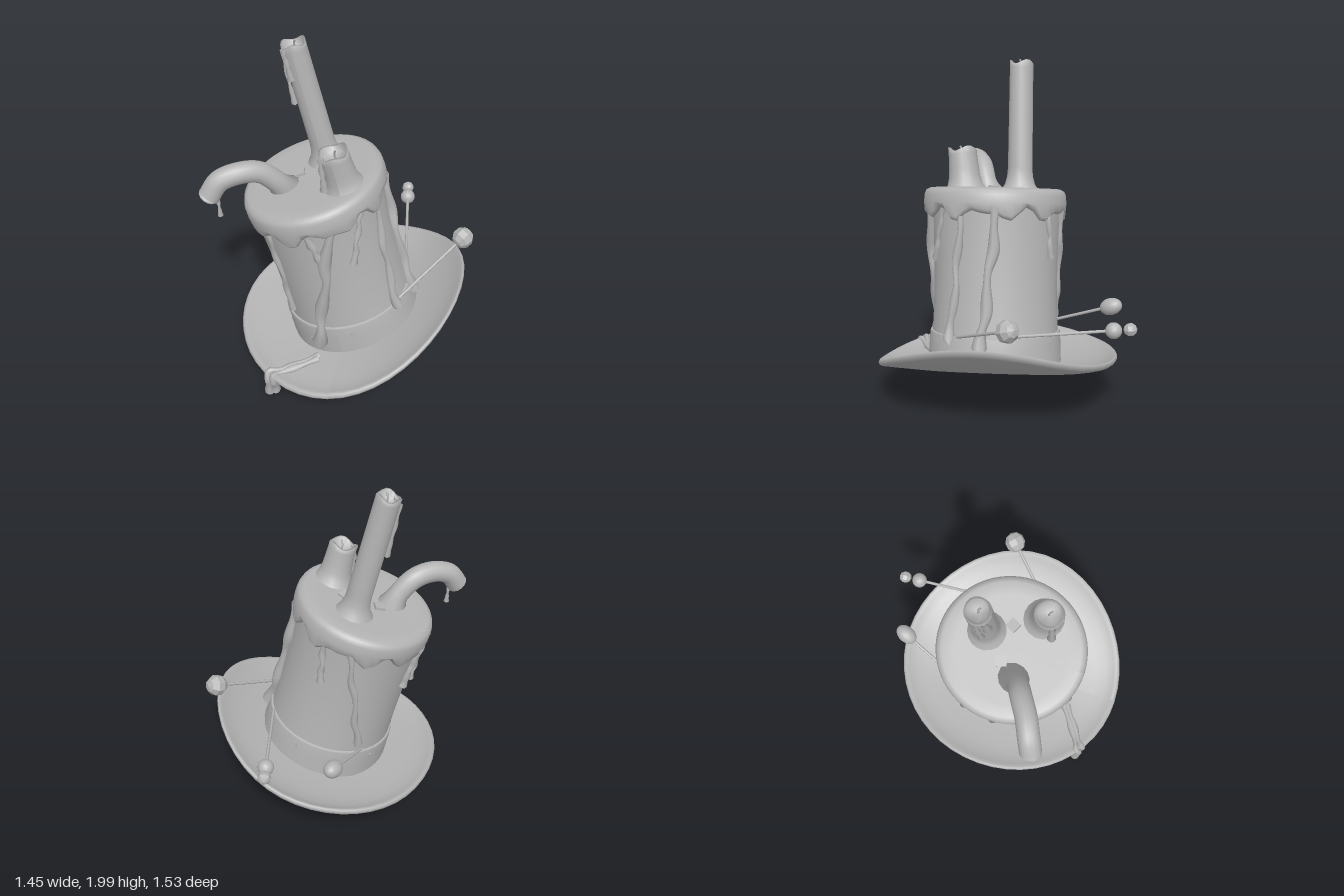
import * as THREE from 'three';

const V = (x, y, z) => new THREE.Vector3(x, y, z);
const RAD = Math.PI / 180;
const UP = V(0, 1, 0);

export function createModel() {
  const root = new THREE.Group();
  const wax = new THREE.MeshStandardMaterial({ color: 0xb4b4b4 });
  wax.name = 'warm grey';
  wax.side = THREE.DoubleSide;
  const faceted = wax.clone();
  faceted.flatShading = true;

  const add = (parent, name, geo, mat = wax) => {
    const mesh = new THREE.Mesh(geo, mat);
    mesh.name = name;
    parent.add(mesh);
    return mesh;
  };
  const lathe = (pts, seg) => new THREE.LatheGeometry(pts.map(p => new THREE.Vector2(p[0], p[1])), seg);
  const deform = (geo, rule) => {
    const p = geo.attributes.position, v = V(0, 0, 0);
    for (let i = 0; i < p.count; i++) {
      rule(v.fromBufferAttribute(p, i));
      p.setXYZ(i, v.x, v.y, v.z);
    }
    geo.computeVertexNormals();
    return geo;
  };
  // tube whose radius follows radius(t)
  const taperTube = (pts, radius, sides = 8, steps = 30) => {
    const curve = new THREE.CatmullRomCurve3(pts);
    const geo = new THREE.TubeGeometry(curve, steps, 1, sides);
    const p = geo.attributes.position, v = V(0, 0, 0);
    for (let i = 0; i < p.count; i++) {
      const t = Math.floor(i / (sides + 1)) / steps, c = curve.getPointAt(t);
      v.fromBufferAttribute(p, i).sub(c).multiplyScalar(radius(t)).add(c);
      p.setXYZ(i, v.x, v.y, v.z);
    }
    return geo;
  };
  // lumpy runnel with a bead at its lower end
  const dripRadius = (r, bead = 1.3) => t => {
    const end = Math.sqrt(Math.max(0, 1 - ((t - 0.93) / 0.07) ** 2));
    const body = r * (0.85 + 0.22 * Math.sin(t * 17 + r * 90));
    return t > 0.93 ? r * bead * end + 0.0005 : body + (r * bead - body) * Math.max(0, (t - 0.8) / 0.13);
  };

  // ---- Curled brim, back rim turned up a little ----
  const brimY = (x, z) => 0.155 + 0.42 * Math.pow(Math.abs(x + 0.33) / 1.02, 2.4)
    + 0.07 * Math.pow(Math.max(0, 0.4 - z), 1.3) + 0.055 * Math.pow(Math.max(0, 0.055 - z) / 0.705, 5);
  const profile = [];
  for (let i = 0; i <= 10; i++) profile.push([i * 0.097, 0]);
  profile.push([0.99, 0.006], [1, 0.022], [0.99, 0.038], [0.97, 0.043], [0.945, 0.035]);
  for (let i = 9; i >= 0; i--) profile.push([i * 0.097, 0.025]);
  add(root, 'brim', deform(lathe(profile, 48), v => {
    v.x = 0.027 + v.x * 0.667;
    v.z = 0.055 + v.z * 0.707;
    v.y += brimY(v.x, v.z);
  }));

  // ---- Leaning crown ----
  const crown = new THREE.Group();
  crown.name = 'crown';
  crown.position.set(0.046, 0.31, 0.066);
  crown.rotation.set(0.04, 0, 0.245);
  root.add(crown);
  const wall = h => 0.36 + 0.018 * ((h - 0.45) / 0.45) ** 2;
  const side = [];
  for (let i = 0; i <= 12; i++) side.push([wall(0.03 + i * 0.071), 0.03 + i * 0.071]);
  add(crown, 'crownWall', lathe(side, 40));
  // the band's foot follows the slope of the brim
  add(crown, 'hatBand', deform(lathe([[0.39, -0.03], [0.386, 0.07], [0.382, 0.145], [0.376, 0.153], [0.36, 0.153]], 40), v => {
    if (v.y < 0) v.y += 0.055 * v.x;
  }));
  // stitches and studs on the band
  for (let i = 0; i < 10; i++) {
    const a = (i * 36 + 12) * RAD, h = i % 2 ? 0.06 : 0.1;
    const mark = add(crown, 'bandMark', new THREE.BoxGeometry(i % 2 ? 0.045 : 0.016, i % 2 ? 0.008 : 0.03, 0.008));
    mark.position.set(Math.sin(a) * 0.385, h, Math.cos(a) * 0.385);
    mark.rotation.set(0, a, 0.2);
  }

  // wax cap with a ragged lower edge, leaning a little further than the crown
  const cap = add(crown, 'waxCap', deform(lathe([[0.352, 0.85], [0.378, 0.825], [0.397, 0.845], [0.402, 0.89], [0.4, 0.935],
    [0.39, 0.962], [0.365, 0.976], [0.3, 0.975], [0, 0.97]], 56), v => {
    v.z *= 1.035;
    v.y -= 0.9;
    if (v.y > -0.03) return;
    const a = Math.atan2(v.x, v.z);
    v.y += 0.026 * Math.sin(9 * a) + 0.018 * Math.sin(14 * a + 1);
  }));
  cap.position.set(0.006, 0.9, 0.008);
  cap.rotation.z = 0.03;

  // ---- Runnels down the crown: start angle, end angle, start and end height, radius ----
  const runnels = [
    [-35, -47, 0.87, 0.19, 0.019], [24, -21, 0.87, 0.0, 0.036], [3, 9, 0.87, 0.6, 0.024],
    [52, 33, 0.87, 0.56, 0.018], [103, 90, 0.88, 0.05, 0.033], [72, 60, 0.88, 0.1, 0.025],
    [152, 160, 0.88, 0.58, 0.019], [176, 212, 0.87, 0.18, 0.021],
    [-113, -116, 0.87, 0.58, 0.022], [-86, -94, 0.87, 0.55, 0.024],
  ];
  runnels.forEach(([a0, a1, h0, h1, r], k) => {
    const pts = [];
    for (let i = 0; i <= 7; i++) {
      const t = i / 7, h = h0 + (h1 - h0) * t;
      const a = (a0 + (a1 - a0) * t + 2 * (h0 - h1) * Math.sin(i * 2.1 + k)) * RAD;
      const d = Math.max(wall(h), h < 0.16 ? 0.385 : 0) + r * 0.3;
      pts.push(V(Math.sin(a) * d, h, Math.cos(a) * d));
    }
    add(crown, 'waxRunnel', taperTube(pts, dripRadius(r)));
  });

  // ---- Wax crossing the brim and hanging from its edge ----
  [[-0.35, 0.01, 0], [-0.315, 0.03, 0.025]].forEach(([x, low, dz]) => {
    const pts = [[-0.09, 0.45], [-0.2, 0.53], [-0.29, 0.59]].map(([px, pz]) => V(px, brimY(px, pz) + 0.034, pz + dz));
    pts.push(V(x, 0.195, 0.615 + dz), V(x, 0.15, 0.635 + dz * 0.5), V(x, 0.09, 0.625), V(x, low, 0.62));
    add(root, 'brimDrip', taperTube(pts, dripRadius(0.022, 1.4), 8, 40));
  });

  // ---- Straight candles with hollow, melted tops ----
  const candle = (name, base, top, r) => {
    const dir = top.clone().sub(base), L = dir.length();
    const group = new THREE.Group();
    group.name = name;
    group.position.copy(base);
    group.quaternion.setFromUnitVectors(UP, dir.normalize());
    root.add(group);
    const pts = [[r + 0.055, -0.03], [r + 0.04, 0.0], [r + 0.016, 0.035], [r + 0.004, 0.08], [r, 0.13],
      [r * 0.95, L - 0.03], [r * 0.95, L], [r * 0.78, L], [r * 0.7, L - 0.035], [0, L - 0.045]];
    add(group, 'candleWax', deform(lathe(pts, 18), v => {
      if (v.y > L - 0.01) v.y += 0.012 * Math.sin(3 * Math.atan2(v.x, v.z) + 1);
    }));
    add(group, 'wick', taperTube([V(0, L - 0.05, 0), V(0.004, L - 0.01, 0), V(0.015, L + 0.015, 0.008)], () => 0.006, 6, 6));
  };
  candle('tallCandle', V(-0.13, 1.27, -0.045), V(-0.295, 1.975, -0.02), 0.071);
  candle('shortCandle', V(0.025, 1.29, 0.235), V(-0.03, 1.52, 0.265), 0.084);

  // ---- Drooping candle ----
  const droop = [V(-0.31, 1.16, 0.17), V(-0.355, 1.25, 0.205), V(-0.44, 1.335, 0.25), V(-0.54, 1.352, 0.31),
    V(-0.63, 1.32, 0.355), V(-0.682, 1.24, 0.385)];
  add(root, 'droopingCandle', taperTube(droop, t => 0.06 + 0.06 * Math.max(0, 1 - t / 0.2) ** 1.6, 14, 36));
  const tip = add(root, 'droopingCandleEnd', new THREE.SphereGeometry(0.058, 14, 8));
  tip.scale.y = 0.3;
  tip.position.copy(droop[5]);
  tip.rotation.z = -0.5;

  // drips on the candles
  const hanging = (pts, r) => add(root, 'candleDrip', taperTube(pts, dripRadius(r, 1.5), 8, 20));
  hanging([V(-0.64, 1.27, 0.38), V(-0.635, 1.19, 0.38), V(-0.63, 1.105, 0.38)], 0.011);
  hanging([V(-0.335, 1.95, 0.02), V(-0.315, 1.86, 0.025), V(-0.295, 1.775, 0.025)], 0.018);
  hanging([V(-0.352, 1.93, -0.015), V(-0.327, 1.78, -0.01), V(-0.292, 1.61, -0.01)], 0.013);
  hanging([V(-0.09, 1.49, 0.3), V(-0.082, 1.4, 0.3), V(-0.07, 1.29, 0.3)], 0.018);

  // wax chips on the cap
  [[-0.26, 0.08], [-0.065, 0.085]].forEach(([x, z], i) => {
    const chip = add(root, 'waxChip', new THREE.BoxGeometry(0.06, 0.024, 0.06), faceted);
    chip.position.set(x, 1.257 + (x + 0.187) * 0.28, z);
    chip.rotation.set(0, 0.3 - i * 0.8, 0.28);
  });

  // ---- Hat pins: shaft plus heads ----
  const pin = (name, a, b, heads) => {
    const group = new THREE.Group();
    group.name = name;
    root.add(group);
    const dir = b.clone().sub(a), L = dir.length();
    const q = new THREE.Quaternion().setFromUnitVectors(UP, dir.normalize());
    const shaft = add(group, 'pinShaft', new THREE.CylinderGeometry(0.009, 0.009, L, 8));
    shaft.position.copy(a).lerp(b, 0.5);
    shaft.quaternion.copy(q);
    heads.forEach(([offset, r, stretch, flat]) => {
      const geo = flat ? new THREE.SphereGeometry(r, 8, 5) : new THREE.SphereGeometry(r, 16, 12);
      const head = add(group, 'pinHead', geo, flat ? faceted : wax);
      head.position.copy(b).addScaledVector(dir, offset);
      head.quaternion.copy(q);
      head.scale.y = stretch;
    });
  };
  pin('leftPin', V(0.33, 0.525, 0.23), V(0.66, 0.74, -0.14), [[0, 0.064, 1, true]]);
  pin('backLeftPin', V(0.335, 0.56, -0.1), V(0.268, 0.62, -0.645), [[0, 0.046, 1, false], [0.09, 0.038, 1, true]]);
  pin('backRightPin', V(-0.21, 0.45, -0.25), V(-0.095, 0.61, -0.595), [[0, 0.05, 1.4, false]]);

  return root;
}
